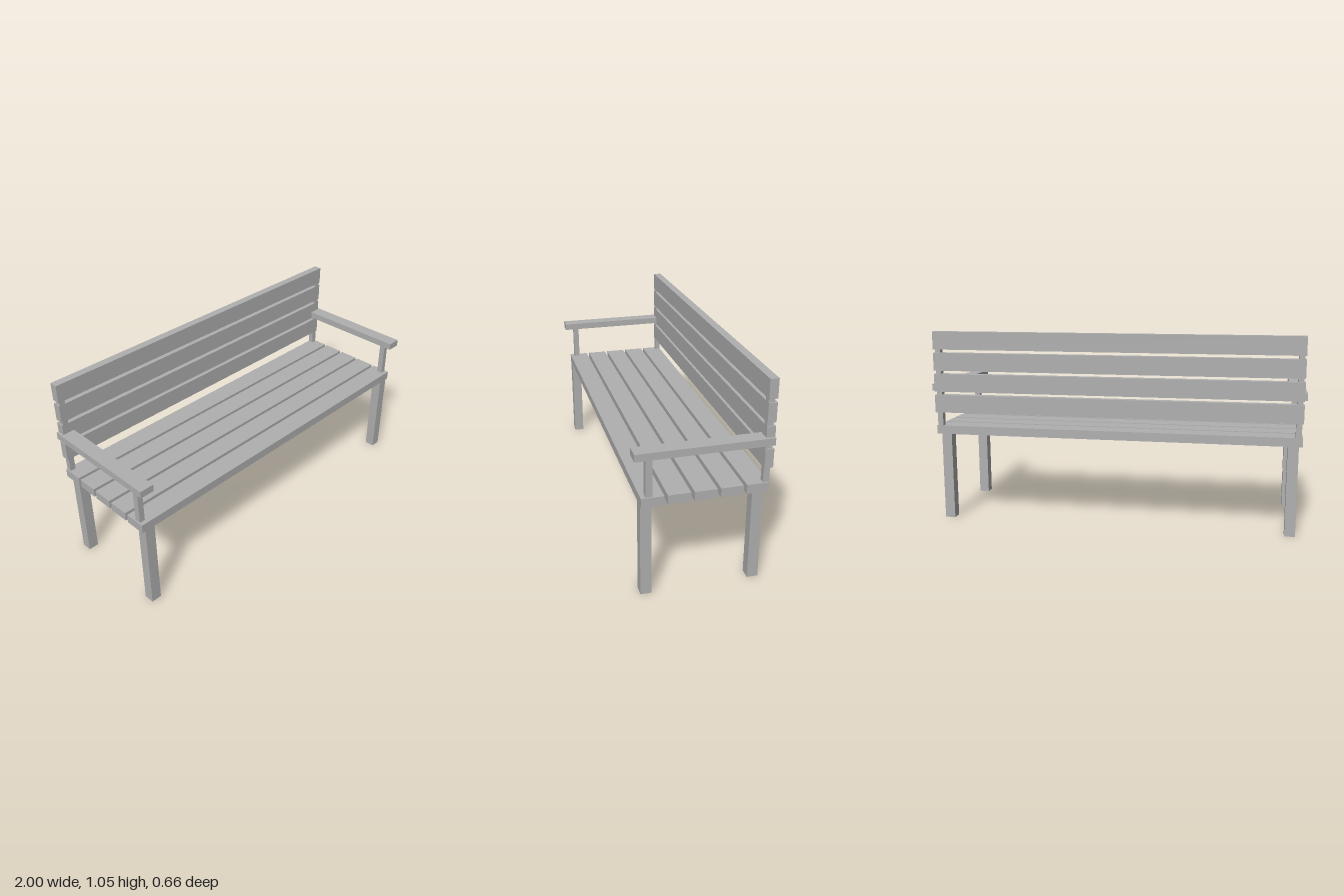
import * as THREE from 'three';

export function createModel() {
  const bench = new THREE.Group();
  bench.name = 'bench';
  const grey = new THREE.MeshStandardMaterial({ color: 0xb0b0b0 });
  grey.name = 'plain grey';

  // Adds a box given its [min, max] extent along each axis
  function addBox(name, [x0, x1], [y0, y1], [z0, z1]) {
    const mesh = new THREE.Mesh(new THREE.BoxGeometry(x1 - x0, y1 - y0, z1 - z0), grey);
    mesh.position.set((x0 + x1) / 2, (y0 + y1) / 2, (z0 + z1) / 2);
    mesh.name = name;
    bench.add(mesh);
  }

  const slatX = [-0.987, 0.987];
  const seatBottom = 0.486, seatTop = 0.533;

  // Five seat slats, front to back
  for (let i = 0; i < 5; i++) {
    const z = 0.243 - i * 0.1265;
    addBox(`seatSlat${i + 1}`, slatX, [seatBottom, seatTop], [z - 0.055, z + 0.055]);
  }

  // Four backrest slats, bottom to top
  for (let i = 0; i < 4; i++) {
    const y = 0.608 + i * 0.115;
    addBox(`backSlat${i + 1}`, slatX, [y, y + 0.097], [-0.33, -0.287]);
  }

  // Legs, posts and armrests, mirrored on both sides
  for (const [side, s] of [['left', 1], ['right', -1]]) {
    const span = (a, b) => (s > 0 ? [a, b] : [-b, -a]);
    addBox(`${side}FrontLeg`, span(0.913, 0.969), [0, seatBottom], [0.243, 0.298]);
    addBox(`${side}BackLeg`, span(0.913, 0.969), [0, seatBottom], [-0.297, -0.242]);
    addBox(`${side}BackPost`, span(0.95, 0.98), [seatTop, 1.04], [-0.318, -0.288]);
    addBox(`${side}ArmrestPost`, span(0.95, 0.98), [seatTop, 0.728], [0.243, 0.275]);
    addBox(`${side}Armrest`, span(0.924, 1), [0.728, 0.765], [-0.329, 0.33]);
  }

  return bench;
}
